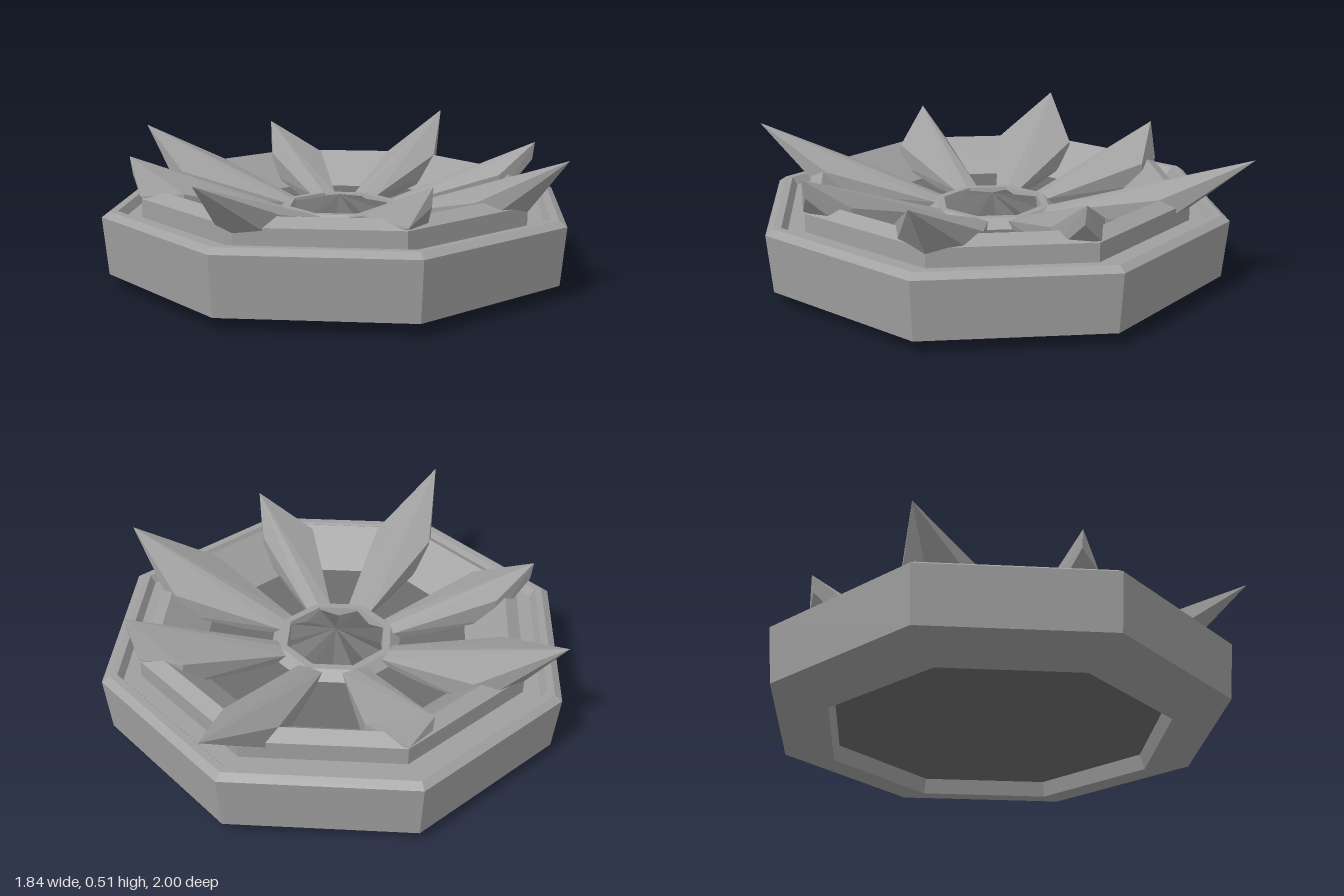
import * as THREE from 'three';
import { ConvexGeometry } from 'three/addons/geometries/ConvexGeometry.js';

const stone = new THREE.MeshStandardMaterial({ color: 0xa0a0a0 });
stone.name = 'stone grey';
const darkStone = new THREE.MeshStandardMaterial({ color: 0x6c6c6c });
darkStone.name = 'dark grey';

// Hard-faceted turned part from [radius, height] pairs; pleat lowers every second outer corner
function turned(name, profile, material, sides = 8, pleat = 0) {
  const points = profile.map(([r, y]) => new THREE.Vector2(r, y));
  const lathe = new THREE.LatheGeometry(points, sides);
  const position = lathe.attributes.position;
  for (let i = 0; i < position.count; i++) {
    const ring = Math.floor(i / points.length);
    if (i % points.length === 0 && ring % 2) position.setY(i, position.getY(i) - pleat);
  }
  const geometry = lathe.toNonIndexed();
  geometry.computeVertexNormals();
  const mesh = new THREE.Mesh(geometry, material);
  mesh.name = name;
  return mesh;
}

// Blade pointing along +z, turned by angle: narrow at the hub, widest at the ring, sharp raised tip
function spike(name, angle, { tip, tipY, half, wide, keel, skew = 0 }) {
  const corners = [[skew, tipY, tip], [0, 0.265, 0.22], [0, 0.38, wide], ...keel];
  for (const s of [-1, 1]) {
    corners.push(
      [s * 0.05, 0.255, 0.22],
      [s * 0.04, 0.21, 0.23],
      [s * half, 0.36, wide],
      [s * half, 0.27, wide + 0.01],
    );
  }
  const geometry = new ConvexGeometry(corners.map((c) => new THREE.Vector3(...c)));
  const mesh = new THREE.Mesh(geometry, stone);
  mesh.name = name;
  mesh.rotation.y = angle;
  return mesh;
}

export function createModel() {
  const model = new THREE.Group();
  model.name = 'spikedMedallion';

  // Body: hollow foot, outer wall, bevelled rim and groove
  model.add(turned('body', [
    [0.66, 0.06], [0.68, 0], [0.9, 0.05], [0.92, 0.27], [0.89, 0.29],
    [0.86, 0.29], [0.84, 0.26], [0.77, 0.26],
  ], stone));
  model.add(turned('undersidePanel', [[0, 0.06], [0.66, 0.06]], darkStone));

  // Raised ring sloping down into the bowl
  model.add(turned('innerRing', [[0.77, 0.26], [0.77, 0.33], [0.715, 0.36], [0.55, 0.23]], stone));
  model.add(turned('bowlFloor', [[0.55, 0.23], [0.27, 0.23]], darkStone));

  // Hub with a pleated pointed centre
  model.add(turned('hubRing', [[0.27, 0.23], [0.23, 0.265], [0.2, 0.265], [0.19, 0.22]], stone));
  model.add(turned('hubCone', [[0.195, 0.255], [0, 0.3]], darkStone, 16, 0.03));

  // Long spikes on the axes
  const q = Math.PI / 2;
  const long = { tipY: 0.51, keel: [[0, 0.31, 0.77]] };
  model.add(spike('frontSpike', 0, { ...long, tip: 0.995, half: 0.12, wide: 0.65 }));
  model.add(spike('backSpike', 2 * q, { ...long, tip: 1, half: 0.11, wide: 0.67 }));
  for (const [side, s] of [['left', 1], ['right', -1]]) {
    model.add(spike(side + 'Spike', s * q, { ...long, tip: 0.92, half: 0.16, wide: 0.63 }));
    // Short blunt-ended spikes on the diagonals, tips leaning towards the sides
    for (const [end, turn, lean] of [['Front', 0.5, 1], ['Back', 1.5, -1]]) {
      const skew = s * lean * 0.075;
      model.add(spike(side + end + 'Spike', s * turn * q, {
        tip: 0.8, tipY: 0.48, half: 0.11, wide: 0.63, skew,
        keel: [[skew, 0.41, 0.79], [0, 0.34, 0.775]],
      }));
    }
  }
  return model;
}
